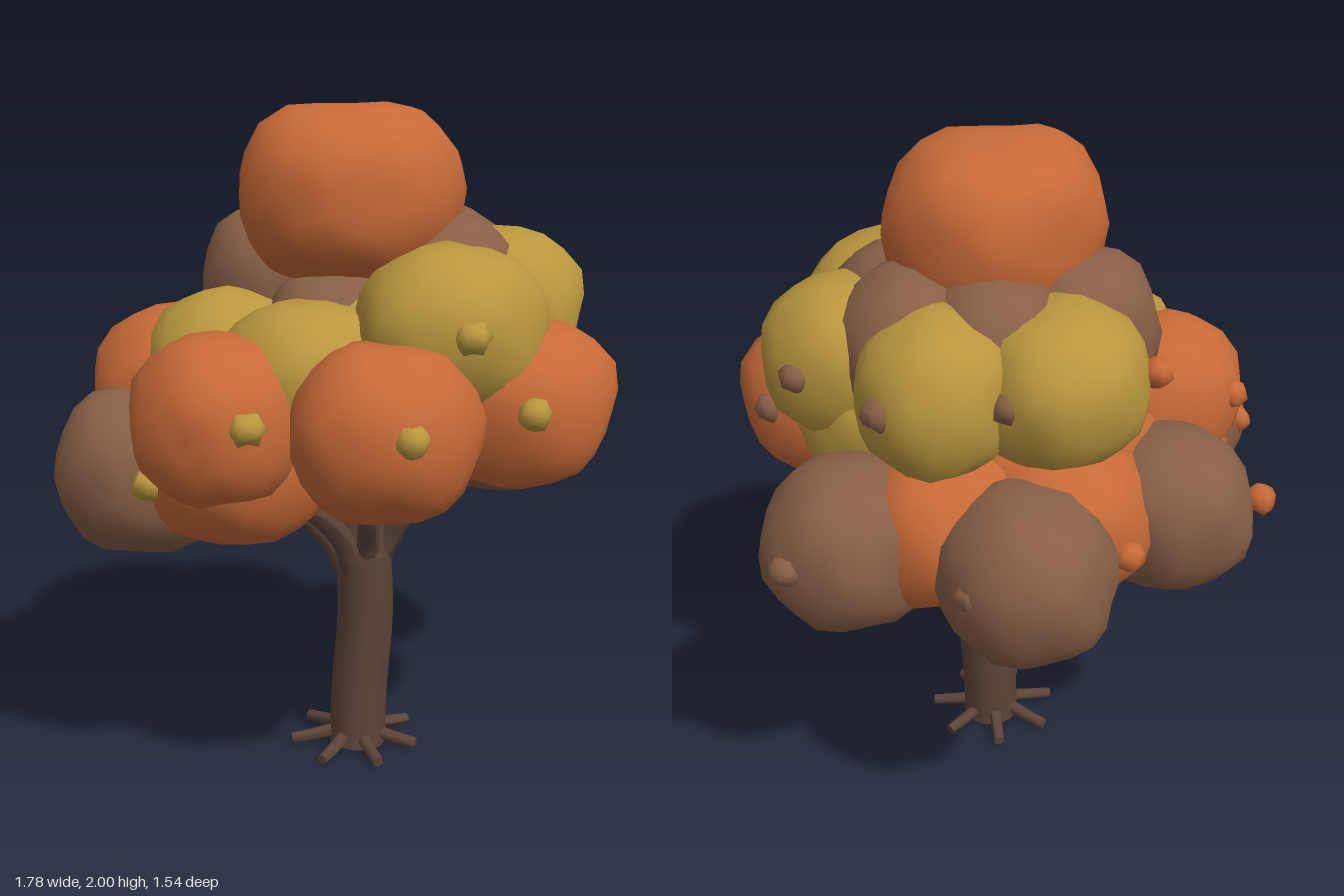
import * as THREE from 'three';
import { mergeVertices } from 'three/addons/utils/BufferGeometryUtils.js';

const paint = (name, color) => {
  const m = new THREE.MeshStandardMaterial({ color });
  m.name = name;
  return m;
};

export function createModel() {
  const tree = new THREE.Group();
  tree.name = 'autumnTree';
  const bark = paint('darkBark', 0x5d4439);
  const orange = paint('orangeLeaves', 0xc86a37);
  const brown = paint('brownLeaves', 0x885f46);
  const yellow = paint('oliveYellowLeaves', 0xba973e);

  const add = (parent, name, geometry, material) => {
    const mesh = new THREE.Mesh(geometry, material);
    mesh.name = name;
    parent.add(mesh);
    return mesh;
  };
  const group = (name) => {
    const g = new THREE.Group();
    g.name = name;
    tree.add(g);
    return g;
  };

  // Lumpy ball, round in plan and slightly squared in height, smooth shaded
  const lump = (rx, ry, rz, seed, { detail = 3, power = 2.3, bump = 0.07 } = {}) => {
    let geo = new THREE.IcosahedronGeometry(1, detail);
    geo.deleteAttribute('normal');
    geo.deleteAttribute('uv');
    geo = mergeVertices(geo, 1e-4);
    const p = geo.attributes.position;
    const v = new THREE.Vector3();
    for (let i = 0; i < p.count; i++) {
      v.fromBufferAttribute(p, i).normalize();
      const sum = Math.hypot(v.x, v.z) ** power + Math.abs(v.y) ** power;
      const wave = Math.sin(5 * v.x + seed) * Math.sin(4 * v.y + seed * 2) * Math.sin(5 * v.z + seed * 3);
      v.multiplyScalar(sum ** (-1 / power) * (1 + bump * wave));
      p.setXYZ(i, v.x * rx, v.y * ry, v.z * rz);
    }
    geo.computeVertexNormals();
    return geo;
  };

  // Tapered limb: rings of a cylinder moved onto a curve
  const limb = (points, r0, r1, sides = 10, rows = 10) => {
    const curve = new THREE.CatmullRomCurve3(points.map((q) => new THREE.Vector3(...q)));
    const geo = new THREE.CylinderGeometry(r1, r0, 1, sides, rows);
    const p = geo.attributes.position;
    const up = new THREE.Vector3(0, 1, 0);
    const turn = new THREE.Quaternion();
    const v = new THREE.Vector3();
    for (let i = 0; i < p.count; i++) {
      const t = THREE.MathUtils.clamp(p.getY(i) + 0.5, 0, 1);
      turn.setFromUnitVectors(up, curve.getTangent(t));
      v.set(p.getX(i), 0, p.getZ(i)).applyQuaternion(turn).add(curve.getPoint(t));
      p.setXYZ(i, v.x, v.y, v.z);
    }
    geo.computeVertexNormals();
    return geo;
  };

  // Trunk with a gentle bend, then a narrowing leader
  add(tree, 'trunk', limb([
    [-0.035, 0.01, 0.07], [-0.025, 0.2, 0.07], [-0.01, 0.45, 0.08], [-0.02, 0.65, 0.08],
  ], 0.088, 0.086, 16, 12), bark);
  add(tree, 'leader', limb([
    [-0.02, 0.64, 0.08], [-0.025, 0.85, 0.075], [-0.03, 1.15, 0.06],
  ], 0.086, 0.04, 16, 8), bark);

  // Branches fanning out under the crown
  const branches = group('branches');
  const tips = [
    [0.32, 0.13], [0.3, -0.1], [0.14, -0.27], [-0.12, -0.3],
    [-0.36, -0.1], [-0.36, 0.14], [-0.17, 0.28], [0.1, 0.28],
  ];
  tips.forEach(([x, z], i) => {
    const y = i > 5 ? 1.05 : 0.9;
    const dz = z - 0.075;
    add(branches, 'branch', limb([
      [-0.02 + x * 0.1, 0.58, 0.075 + dz * 0.1],
      [x * 0.3, 0.7, 0.075 + dz * 0.32],
      [x * 0.6, 0.81, 0.075 + dz * 0.62],
      [x, y, z],
    ], 0.04, 0.028), bark);
  });

  // Short roots around the foot
  const roots = group('roots');
  for (let i = 0; i < 7; i++) {
    const a = (i / 7) * Math.PI * 2 + 0.1;
    const at = (r, y) => [-0.04 + Math.cos(a) * r, y, 0.065 + Math.sin(a) * r];
    add(roots, 'root', limb([at(0.05, 0.052), at(0.13, 0.036), at(0.2, 0.026)], 0.021, 0.017, 8, 4), bark);
  }

  // Leaf clusters in level tiers, each placed by x, z, rx, rz
  const crown = group('crown');
  let seed = 1;
  const tier = (name, material, y, ry, list) => {
    for (const [x, z, rx, rz] of list) {
      add(crown, name, lump(rx, ry, rz, seed++), material).position.set(x, y, z);
    }
  };
  tier('lowerBrownCluster', brown, 0.978, 0.243, [
    [0.57, 0.06, 0.275, 0.25], [0.4, -0.42, 0.245, 0.255],
    [-0.15, -0.51, 0.24, 0.255], [-0.63, -0.18, 0.255, 0.24],
  ]);
  tier('lowerOrangeCluster', orange, 1.025, 0.23, [
    [-0.46, 0.08, 0.29, 0.25], [0.15, -0.36, 0.27, 0.25],
    [0.37, -0.13, 0.28, 0.24], [-0.36, -0.27, 0.26, 0.26],
  ]);
  tier('middleOrangeCluster', orange, 1.173, 0.243, [
    [-0.58, 0.13, 0.24, 0.25], [-0.3, 0.5, 0.265, 0.25],
    [0.2, 0.51, 0.285, 0.26], [-0.42, -0.28, 0.275, 0.245],
  ]);
  tier('middleYellowCluster', yellow, 1.25, 0.235, [
    [0.28, 0.23, 0.25, 0.23], [-0.33, 0.2, 0.25, 0.24], [-0.38, -0.1, 0.25, 0.21],
  ]);
  tier('upperYellowCluster', yellow, 1.403, 0.235, [
    [-0.01, 0.44, 0.285, 0.25], [0.33, 0.29, 0.26, 0.245],
    [0.36, -0.08, 0.245, 0.225], [0.1, -0.3, 0.265, 0.245],
  ]);
  tier('upperBrownCluster', brown, 1.46, 0.235, [
    [0.13, 0.24, 0.26, 0.235], [0.26, 0.1, 0.25, 0.22],
    [0.15, -0.1, 0.22, 0.22], [-0.13, -0.18, 0.23, 0.235],
  ]);
  // Inner masses closing the gaps between the clusters
  tier('innerBrownCluster', brown, 1.35, 0.2, [[-0.12, 0.1, 0.24, 0.2]]);
  tier('innerYellowCluster', yellow, 1.28, 0.24, [[0, 0.16, 0.34, 0.34]]);
  tier('innerOrangeCluster', orange, 1.13, 0.21, [[-0.02, -0.18, 0.38, 0.3]]);

  const topShape = lump(0.335, 0.25, 0.3, 4, { power: 2.8, bump: 0.06 });
  add(crown, 'topCluster', topShape, orange).position.set(-0.052, 1.75, 0.065);

  // Small knobbly buds on each tier, placed by x, z
  const buds = group('buds');
  const budRow = (name, material, y, list) => {
    for (const [x, z] of list) {
      const shape = lump(0.047, 0.045, 0.047, seed++, { detail: 1, power: 2, bump: 0.25 });
      add(buds, name, shape, material).position.set(x, y, z);
    }
  };
  budRow('yellowBud', yellow, 1.0, [[0.41, 0.27], [-0.75, 0.03]]);
  budRow('yellowBud', yellow, 1.21, [[-0.65, 0.36], [-0.4, 0.72], [0.03, 0.73]]);
  budRow('yellowBud', yellow, 1.43, [[-0.14, 0.66]]);
  budRow('brownBud', brown, 1.0, [[0.835, 0.06], [0.61, -0.41]]);
  budRow('brownBud', brown, 1.21, [[0.46, 0.5]]);
  budRow('brownBud', brown, 1.42, [[0.57, 0.26], [0.59, -0.07], [0.34, -0.31]]);
  budRow('orangeBud', orange, 1.0, [[0.18, -0.61], [-0.325, -0.72], [-0.72, -0.39]]);
  budRow('orangeBud', orange, 1.21, [[-0.49, -0.5], [-0.68, -0.08]]);
  budRow('orangeBud', orange, 1.43, [[-0.075, -0.5]]);
  return tree;
}
